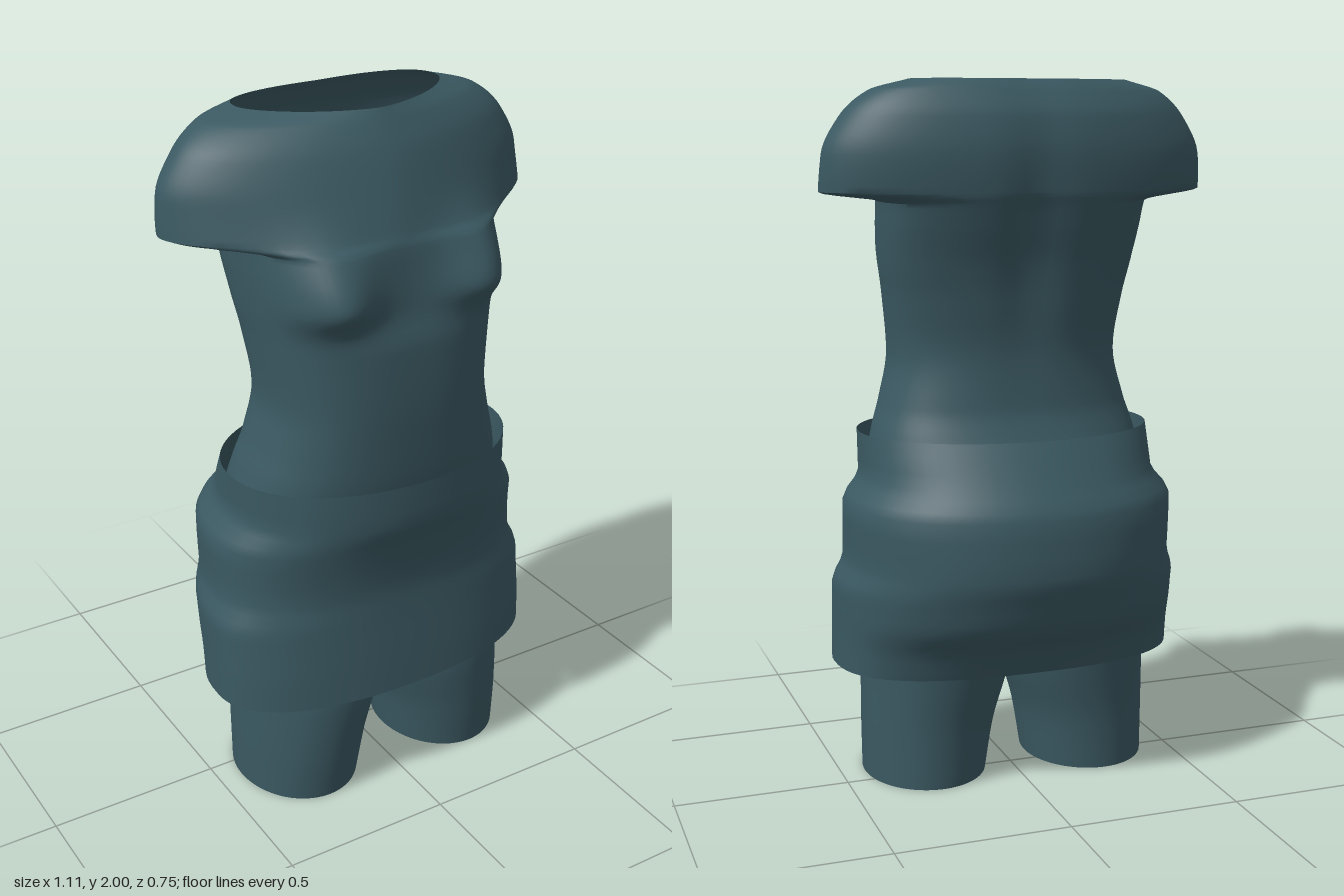
import * as THREE from 'three';
import { toCreasedNormals } from 'three/addons/utils/BufferGeometryUtils.js';

// Monotone cubic interpolation of one column between rows i and i+1
function blend(rows, i, k, t) {
  const slope = (j) => (rows[j + 1][k] - rows[j][k]) / (rows[j + 1][0] - rows[j][0]);
  const tangent = (j) => {
    if (j === 0) return slope(0);
    if (j === rows.length - 1) return slope(j - 1);
    const a = slope(j - 1), b = slope(j);
    return a * b <= 0 ? 0 : (2 * a * b) / (a + b);
  };
  const h = rows[i + 1][0] - rows[i][0], a = rows[i][k], b = rows[i + 1][k];
  const t2 = t * t, t3 = t2 * t;
  return a * (2 * t3 - 3 * t2 + 1) + b * (3 * t2 - 2 * t3)
    + h * (tangent(i) * (t3 - 2 * t2 + t) + tangent(i + 1) * (t3 - t2));
}

// Open tube through rows of [y, halfWidth, frontZ, backZ, sideZ, frontPower, backPower, centreX]
function loft(rows, { steps = 6, segments = 80, sculpt = null, crease = 0.8 } = {}) {
  const rings = [];
  for (let i = 0; i < rows.length - 1; i++) {
    for (let s = 0; s < steps; s++) rings.push(rows[i].map((v, k) => (k ? blend(rows, i, k, s / steps) : v + (rows[i + 1][0] - v) * s / steps)));
  }
  rings.push(rows[rows.length - 1]);
  const positions = [], index = [];
  const power = (v, e) => Math.sign(v) * Math.pow(Math.abs(v), e);
  rings.forEach(([y, w, front, back, side, ef, eb, cx = 0], r) => {
    for (let j = 0; j < segments; j++) {
      const a = (j / segments) * Math.PI * 2;
      const c = Math.cos(a), s = Math.abs(Math.sin(a)) < 1e-9 ? 0 : Math.sin(a);
      const e = s > 0 ? ef : s < 0 ? eb : 1;
      const p = new THREE.Vector3(cx + w * power(c, e), y, side + (s >= 0 ? front - side : side - back) * power(s, e));
      if (sculpt) sculpt(p, s);
      positions.push(p.x, p.y, p.z);
      if (r < rings.length - 1) {
        const n = (j + 1) % segments, p0 = r * segments, p1 = p0 + segments;
        index.push(p0 + j, p1 + j, p0 + n, p1 + j, p1 + n, p0 + n);
      }
    }
  });
  const geometry = new THREE.BufferGeometry();
  geometry.setAttribute('position', new THREE.Float32BufferAttribute(positions, 3));
  geometry.setIndex(index);
  return toCreasedNormals(geometry, crease);
}

// Chest forms on the front, spine groove on the back
function sculptTorso(p, s) {
  if (s > 0) {
    const dx = (Math.abs(p.x) - 0.235) / 0.115;
    const dy = (p.y - 1.55) / (p.y > 1.55 ? 0.14 : 0.07);
    p.z += 0.085 * Math.exp(-dx * dx - dy * dy) * Math.min(1, s * 2);
  } else {
    const dx = p.x / 0.07, dy = (p.y - 1.6) / 0.3;
    p.z += 0.022 * Math.exp(-dx * dx - dy * dy);
  }
}

export function createModel() {
  const group = new THREE.Group();
  const slate = new THREE.MeshStandardMaterial({ color: 0x3b5962, side: THREE.DoubleSide });
  slate.name = 'slate teal';
  const add = (name, geometry) => {
    const mesh = new THREE.Mesh(geometry, slate);
    mesh.name = name;
    group.add(mesh);
  };

  // Torso with short sleeves and an open neck
  add('torso', loft([
    [0.38, 0.43, 0.31, -0.19, 0.07, 0.9, 0.9],
    [0.55, 0.43, 0.30, -0.27, 0.05, 0.9, 0.9],
    [0.75, 0.42, 0.29, -0.31, 0.04, 0.9, 0.9],
    [0.90, 0.41, 0.315, -0.25, 0.05, 0.85, 0.9],
    [1.02, 0.385, 0.33, -0.186, 0.06, 0.8, 0.85],
    [1.10, 0.36, 0.335, -0.16, 0.07, 0.8, 0.85],
    [1.24, 0.33, 0.34, -0.15, 0.08, 0.78, 0.85],
    [1.40, 0.345, 0.335, -0.17, 0.06, 0.76, 0.8],
    [1.50, 0.36, 0.31, -0.19, 0.04, 0.75, 0.75],
    [1.60, 0.37, 0.295, -0.22, 0.01, 0.75, 0.72],
    [1.67, 0.375, 0.285, -0.24, -0.01, 0.75, 0.7],
    [1.70, 0.557, 0.275, -0.25, -0.03, 1.2, 1],
    [1.80, 0.55, 0.24, -0.257, -0.04, 1.2, 1],
    [1.90, 0.50, 0.20, -0.242, -0.04, 1.2, 0.95],
    [1.97, 0.42, 0.16, -0.205, -0.05, 1.25, 0.85],
    [2.00, 0.31, 0.14, -0.18, -0.06, 1.3, 0.7],
  ], { sculpt: sculptTorso }));

  // Thighs, open at the cut
  for (const [name, side] of [['leftLeg', 1], ['rightLeg', -1]]) {
    add(name, loft([
      [0.00, 0.18, 0.29, -0.14, 0.07, 1, 1, 0.25 * side],
      [0.15, 0.193, 0.307, -0.15, 0.07, 1, 1, 0.238 * side],
      [0.31, 0.215, 0.317, -0.175, 0.07, 1, 1, 0.215 * side],
      [0.45, 0.225, 0.30, -0.20, 0.06, 1, 1, 0.205 * side],
    ]));
  }

  // Loose skirt, open at waist and hem
  add('skirt', loft([
    [0.34, 0.51, 0.345, -0.20, 0.10, 0.88, 0.78],
    [0.42, 0.51, 0.338, -0.24, 0.10, 0.88, 0.82],
    [0.50, 0.51, 0.33, -0.315, 0.09, 0.88, 0.9],
    [0.58, 0.51, 0.322, -0.345, 0.08, 0.88, 0.92],
    [0.66, 0.482, 0.317, -0.37, 0.06, 0.88, 0.92],
    [0.82, 0.482, 0.345, -0.36, 0.04, 0.9, 0.92],
    [0.90, 0.43, 0.37, -0.315, 0.05, 0.9, 0.92],
    [1.02, 0.43, 0.375, -0.24, 0.07, 0.95, 0.95],
  ], { steps: 3 }));

  return group;
}
